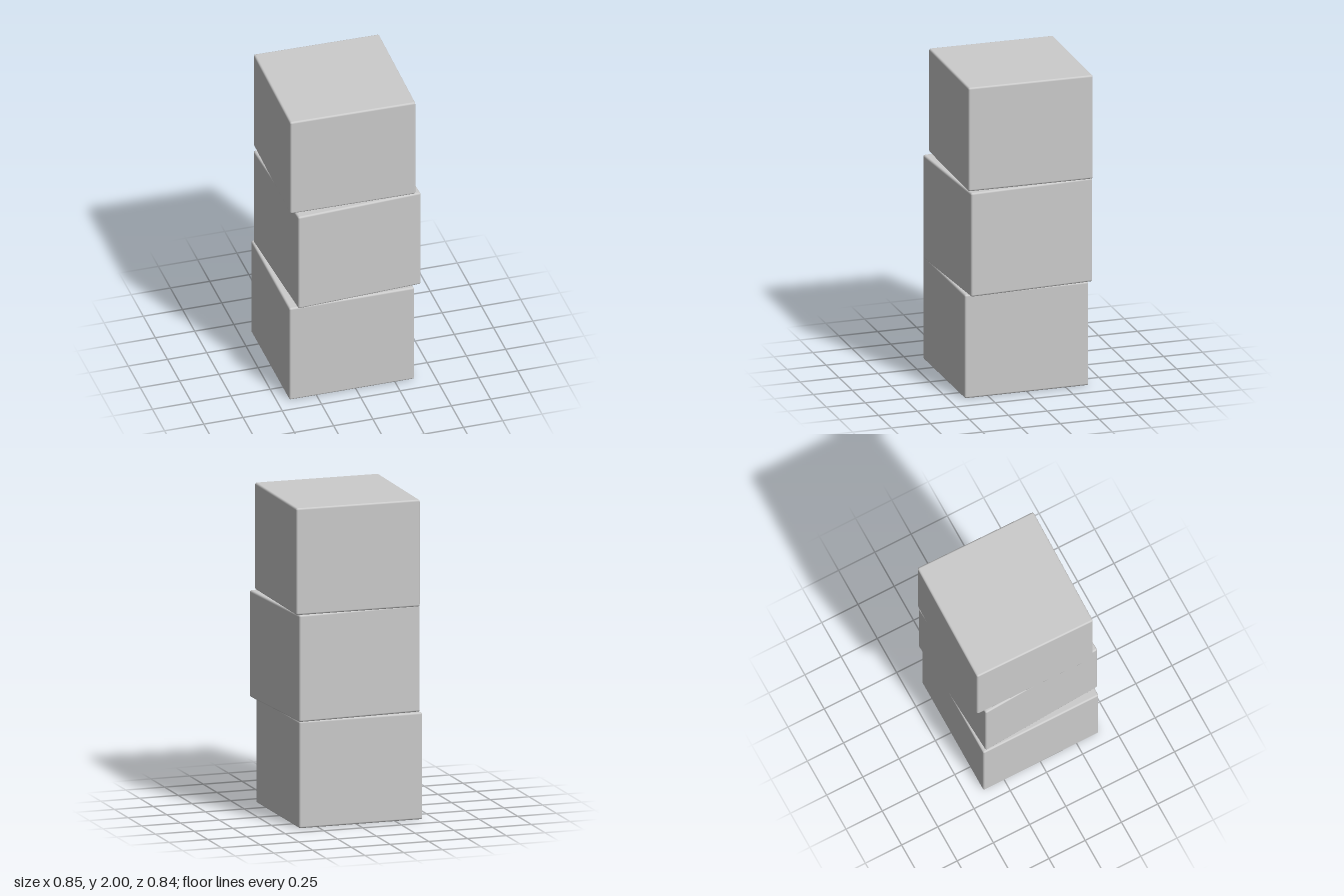
import * as THREE from 'three';
import { RoundedBoxGeometry } from 'three/addons/geometries/RoundedBoxGeometry.js';

const WIDTH = 0.796;
const HEIGHT = 2 / 3;
const BEVEL = 0.012;

// Blocks from the ground up: centre offset and a slight twist about y
const BLOCKS = [
  { name: 'bottomBlock', x: -0.026, z: 0.004, twist: 0 },
  { name: 'middleBlock', x: 0.003, z: 0.002, twist: 0.054 },
  { name: 'topBlock', x: -0.006, z: -0.021, twist: -0.014 },
];

export function createModel() {
  const group = new THREE.Group();
  group.name = 'blockStack';
  const material = new THREE.MeshStandardMaterial({ color: 0xcccccc });
  const geometry = new RoundedBoxGeometry(WIDTH, HEIGHT, WIDTH, 2, BEVEL);

  BLOCKS.forEach(({ name, x, z, twist }, i) => {
    const block = new THREE.Mesh(geometry, material);
    block.name = name;
    block.position.set(x, HEIGHT * (i + 0.5), z);
    block.rotation.y = twist;
    group.add(block);
  });

  return group;
}
